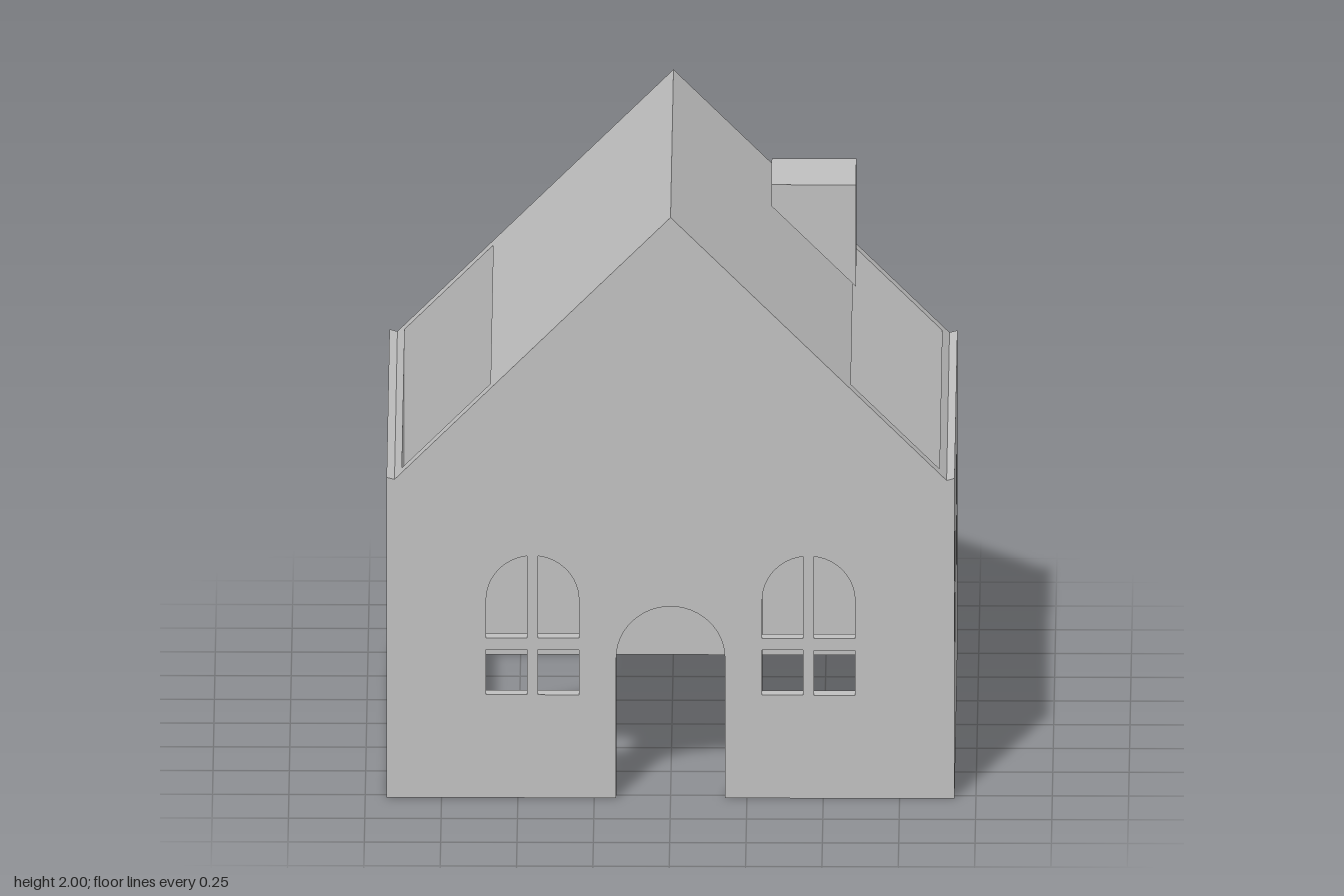
import * as THREE from 'three';

const W = 0.93, D = 0.78, T = 0.05;      // half width, half depth, wall thickness
const EAVE = 1.103, DIP = 1.096, DIP_X = 0.904, RIDGE = 2, CEILING = 1.41;

const polygon = (pts) => new THREE.Shape(pts.map(([x, y]) => new THREE.Vector2(x, y)));
const rect = (x0, x1, y0, y1) => polygon([[x0, y0], [x1, y0], [x1, y1], [x0, y1]]);

// One upper pane of an arched window: side +1 or -1 of the mullion
function archPane(cx, side, half, bar, y0, spring) {
  const pts = [[cx + side * bar, y0], [cx + side * half, y0]];
  const end = Math.acos(bar / half);
  for (let i = 0; i <= 12; i++) {
    const a = end * i / 12;
    pts.push([cx + side * half * Math.cos(a), spring + half * Math.sin(a)]);
  }
  return polygon(pts);
}

function archedWindow(cx) {
  const half = 0.152, bar = 0.018;
  return [-1, 1].flatMap((s) => [
    rect(cx + s * bar, cx + s * half, 0.355, 0.51),
    archPane(cx, s, half, bar, 0.55, 0.682),
  ]);
}

function squareWindow(cz) {
  const half = 0.141, bar = 0.018;
  return [-1, 1].flatMap((s) => [
    rect(cz + s * bar, cz + s * half, 0.416, 0.587),
    rect(cz + s * bar, cz + s * half, 0.625, 0.798),
  ]);
}

// Pentagon end wall, optionally with an arched doorway cut from its base
function gableShape(withDoor) {
  const pts = [[W, 0], [W, EAVE], [DIP_X, DIP], [0, RIDGE], [-DIP_X, DIP], [-W, EAVE], [-W, 0]];
  if (withDoor) {
    const r = 0.178;
    pts.push([-r, 0]);
    for (let i = 0; i <= 24; i++) {
      const a = Math.PI * (1 - i / 24);
      pts.push([r * Math.cos(a), 0.482 + r * Math.sin(a)]);
    }
    pts.push([r, 0]);
  }
  const shape = polygon(pts);
  shape.holes.push(...archedWindow(-0.452), ...archedWindow(0.452));
  return shape;
}

export function createModel() {
  const group = new THREE.Group();
  const plaster = new THREE.MeshStandardMaterial({ color: 0xc0c0c0 });
  plaster.name = 'plain grey';

  const add = (name, shape, depth, z = 0) => {
    const geometry = new THREE.ExtrudeGeometry(shape, { depth, bevelEnabled: false });
    const mesh = new THREE.Mesh(geometry, plaster);
    mesh.name = name;
    mesh.position.z = z;
    group.add(mesh);
    return mesh;
  };

  // End walls
  add('frontWall', gableShape(true), T, D - T);
  add('backWall', gableShape(false), T, -D);

  // Side walls with four-pane windows, and their sloping top lips
  const inner = D - T;
  for (const side of [1, -1]) {
    const label = side > 0 ? 'left' : 'right';
    const shape = rect(-inner, inner, 0, DIP);
    shape.holes.push(...squareWindow(0.358), ...squareWindow(-0.35));
    const wall = add(label + 'Wall', shape, T);
    wall.rotation.y = -Math.PI / 2;
    wall.position.x = side > 0 ? W : -W + T;

    const lip = [[W, DIP], [W, EAVE], [DIP_X, DIP], [W - T, RIDGE - W + T], [W - T, DIP]];
    add(label + 'WallLip', polygon(lip.map(([x, y]) => [side * x, y])), 2 * inner, -inner);
  }

  // Solid upper roof with a flat ceiling, open below on both slopes
  const eave = RIDGE - CEILING;
  add('roof', polygon([[-eave, CEILING], [eave, CEILING], [0, RIDGE]]), 2 * inner, -inner);

  // Chimney with its base cut parallel to the roof
  add('chimney', polygon([[0.325, 1.782], [0.602, 1.505], [0.602, 1.855], [0.325, 1.855]]), 0.277, -0.288);

  return group;
}
